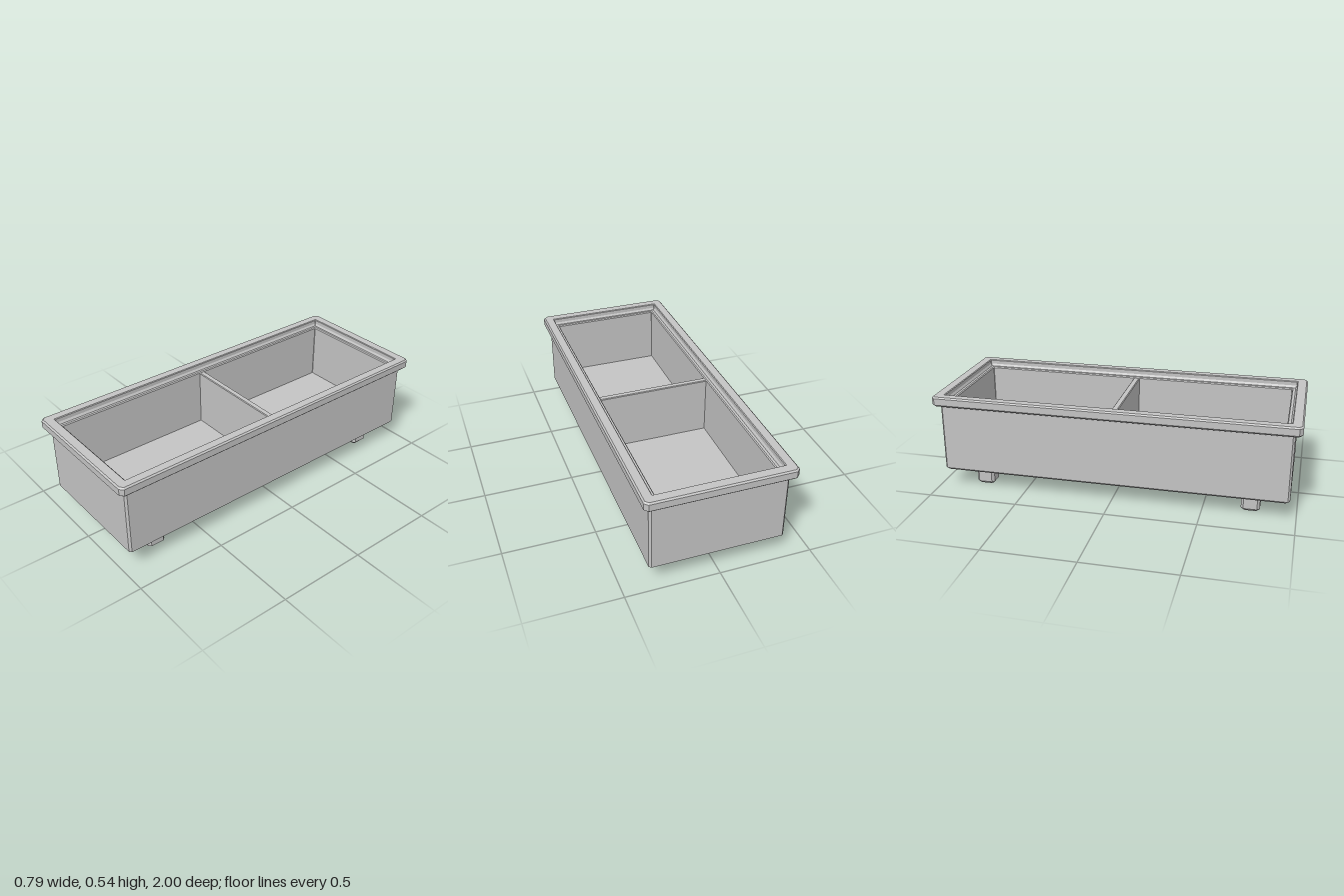
import * as THREE from 'three';

// Corner-chamfered rectangle (half sizes x, z; chamfer c) at height y, anticlockwise from above
function ring([x, z, c, y]) {
  return [
    [x, z - c], [x, c - z], [x - c, -z], [c - x, -z],
    [-x, c - z], [-x, z - c], [c - x, z], [x - c, z],
  ].map(([px, pz]) => new THREE.Vector3(px, y, pz));
}

// Skin a list of rings, closing both ends
function loft(sections) {
  const rings = sections.map(ring), pts = [];
  for (let i = 0; i + 1 < rings.length; i++) {
    const l = rings[i], u = rings[i + 1];
    for (let k = 0; k < 8; k++) {
      const n = (k + 1) % 8;
      pts.push(l[k], l[n], u[n], l[k], u[n], u[k]);
    }
  }
  const first = rings[0], last = rings[rings.length - 1];
  for (let k = 1; k < 7; k++) {
    pts.push(first[0], first[k + 1], first[k]);
    pts.push(last[0], last[k], last[k + 1]);
  }
  const g = new THREE.BufferGeometry().setFromPoints(pts);
  g.computeVertexNormals();
  return g;
}

export function createModel() {
  const group = new THREE.Group();
  const grey = new THREE.MeshStandardMaterial({ color: 0xc4c4c4 });
  grey.name = 'light grey';

  const add = (name, geometry, x = 0, y = 0, z = 0) => {
    const mesh = new THREE.Mesh(geometry, grey);
    mesh.name = name;
    mesh.position.set(x, y, z);
    group.add(mesh);
  };

  // Trough: outer wall, overhanging rim, inner ledge, inner wall and floor
  add('trough', loft([
    [0.349, 0.95, 0.01, 0.1],
    [0.361, 0.962, 0.011, 0.112],
    [0.361, 0.962, 0.011, 0.488],
    [0.384, 0.99, 0.016, 0.488],
    [0.394, 1, 0.019, 0.498],
    [0.394, 1, 0.019, 0.535],
    [0.386, 0.992, 0.016, 0.543],
    [0.342, 0.945, 0.002, 0.543],
    [0.338, 0.941, 0.002, 0.539],
    [0.338, 0.941, 0.002, 0.518],
    [0.33, 0.933, 0.002, 0.506],
    [0.316, 0.919, 0.002, 0.506],
    [0.311, 0.914, 0.002, 0.5],
    [0.311, 0.914, 0.002, 0.175],
  ]));

  // Cross wall between the two bays, with bevelled top edges
  add('divider', loft([
    [0.313, 0.017, 0.001, 0.17],
    [0.313, 0.017, 0.001, 0.496],
    [0.313, 0.013, 0.001, 0.5],
  ]), 0, 0, -0.003);

  // Four short feet
  const foot = loft([
    [0.031, 0.038, 0.009, 0],
    [0.044, 0.051, 0.014, 0.014],
    [0.044, 0.051, 0.014, 0.105],
  ]);
  for (const x of [-1, 1]) {
    for (const z of [-1, 1]) {
      add(`${z > 0 ? 'front' : 'back'}${x > 0 ? 'Left' : 'Right'}Foot`, foot, x * 0.246, 0, z * 0.755);
    }
  }
  return group;
}
